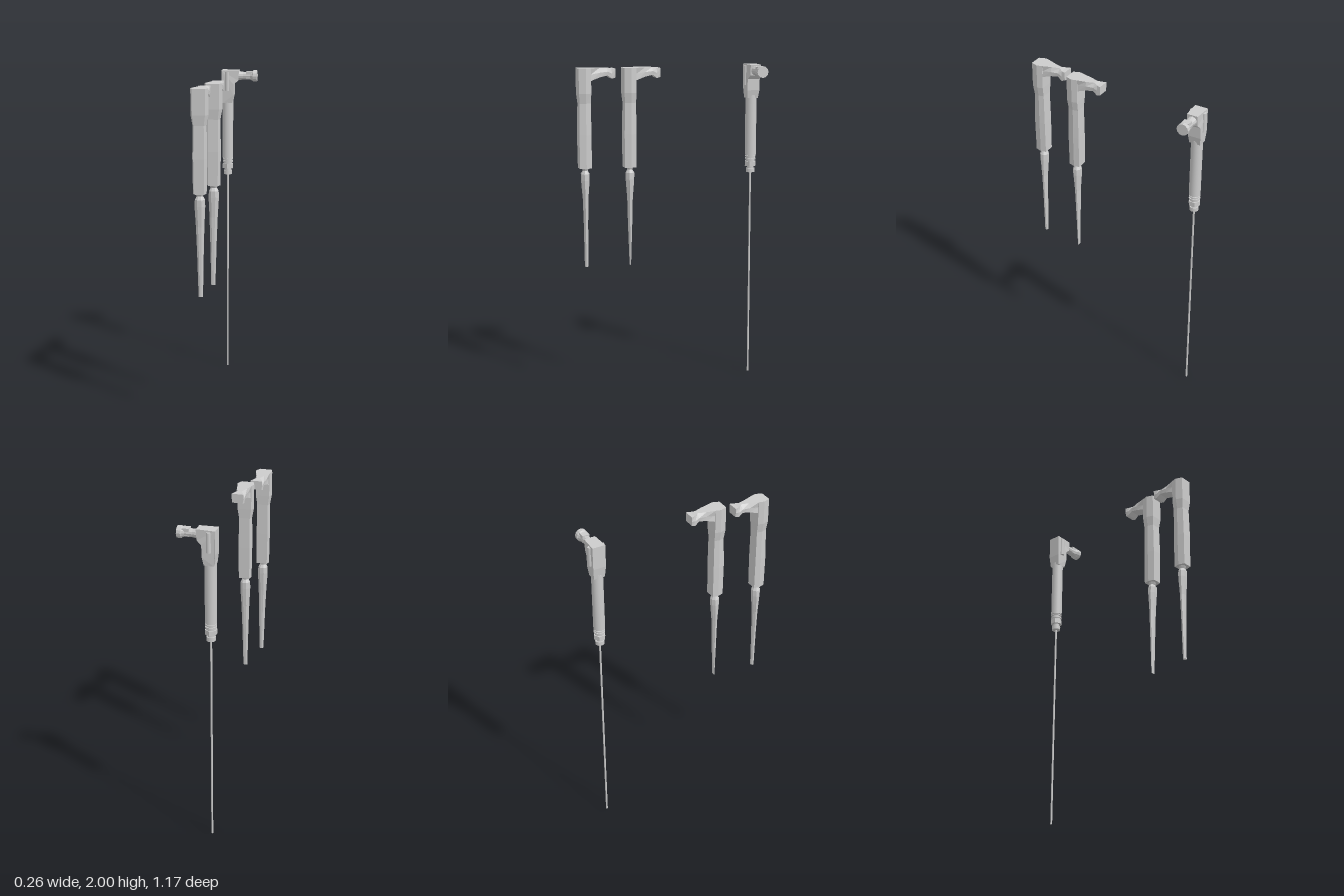
import * as THREE from 'three';

const flat = new THREE.MeshStandardMaterial({ color: 0xcccccc, flatShading: true });
const smooth = new THREE.MeshStandardMaterial({ color: 0xcccccc });

function add(parent, name, geometry, material, x = 0, y = 0, z = 0) {
  const mesh = new THREE.Mesh(geometry, material);
  mesh.name = name;
  mesh.position.set(x, y, z);
  parent.add(mesh);
  return mesh;
}

// Skin a list of equal-length rings of [x, y, z] points and cap both ends
function loft(rings) {
  const n = rings[0].length;
  const tris = [];
  for (let i = 0; i + 1 < rings.length; i++) {
    for (let j = 0; j < n; j++) {
      const k = (j + 1) % n;
      const a = rings[i][j], b = rings[i][k], c = rings[i + 1][k], d = rings[i + 1][j];
      tris.push([a, b, c], [a, c, d]);
    }
  }
  const last = rings[rings.length - 1];
  for (let j = 1; j + 1 < n; j++) {
    tris.push([rings[0][0], rings[0][j + 1], rings[0][j]], [last[0], last[j], last[j + 1]]);
  }
  // Turn the faces outward when the enclosed volume comes out negative
  let volume = 0;
  const [a0, b0, c0] = [0, 1, 2].map(() => new THREE.Vector3());
  for (const [a, b, c] of tris) {
    volume += a0.fromArray(a).dot(b0.fromArray(b).cross(c0.fromArray(c)));
  }
  if (volume < 0) tris.forEach((t) => t.reverse());
  const g = new THREE.BufferGeometry();
  g.setAttribute('position', new THREE.Float32BufferAttribute(tris.flat(2), 3));
  g.computeVertexNormals();
  return g;
}

// Six-sided plan of the grip: flat back, widest at the middle, narrower front
const hexRing = (y, w, back, front) => [
  [-0.72 * w, y, back], [0.72 * w, y, back], [w, y, 0],
  [0.83 * w, y, front], [-0.83 * w, y, front], [-w, y, 0],
];

// Eight-sided ellipse
const ovalRing = (y, rx, rz, cx = 0) => Array.from({ length: 8 }, (_, i) => {
  const a = (i + 0.5) * Math.PI / 4, s = 1 / Math.cos(Math.PI / 8);
  return [cx + rx * s * Math.cos(a), y, rz * s * Math.sin(a)];
});

// Angled hand tool with a hooked head and a long tapering blade
function handTool(name, x, z, bladeX, tipZ, noseScale) {
  const tool = new THREE.Group();
  tool.name = name;
  tool.position.set(x, 0, z);
  add(tool, 'grip', loft([
    hexRing(1.395, 0.04, 0.038, -0.034),
    hexRing(1.6, 0.043, 0.04, -0.034),
    hexRing(1.79, 0.041, 0.035, -0.032),
    hexRing(1.85, 0.052, 0.041, -0.034),
    hexRing(2.0, 0.052, 0.041, -0.034),
  ]), flat);

  // Hooked nose: [z, top half width, bottom half width, bottom y, top y]
  const nose = [
    [0, 0.052, 0.045, 1.91, 2.0],
    [-0.034, 0.043, 0.04, 1.925, 2.0],
    [-0.09, 0.026 * noseScale, 0.036, 1.945, 2.0],
    [-0.14, 0.012 * noseScale, 0.034, 1.955, 2.0],
    [-0.165, 0.028, 0.036, 1.935, 1.995],
    [-0.188, 0.036, 0.032, 1.94, 1.995],
  ];
  add(tool, 'nose', loft(nose.map(([pz, t, b, y0, y1]) => [
    [-b, y0, pz], [b, y0, pz], [0.036, (y0 + y1) / 2, pz],
    [t, y1, pz], [-t, y1, pz], [-0.036, (y0 + y1) / 2, pz],
  ])), flat);

  add(tool, 'blade', loft([
    ovalRing(1.4, 0.026, 0.024),
    ovalRing(1.38, 0.018, 0.014),
    ovalRing(1.36, 0.028, 0.025),
    ovalRing(1.32, 0.03, 0.024),
    ovalRing(1.2, 0.024, 0.015, bladeX * 0.3),
    ovalRing(1.05, 0.019, 0.012, bladeX * 0.6),
    ovalRing(0.78, 0.0125, tipZ, bladeX),
  ]), flat);
  return tool;
}

// Long probe with a round handle, box head and side fitting
function probe(x, z) {
  const tool = new THREE.Group();
  tool.name = 'probe';
  tool.position.set(x, 0, z);
  add(tool, 'rod', new THREE.CylinderGeometry(0.006, 0.006, 1.33, 10), smooth, 0, 0.665);
  add(tool, 'handle', new THREE.CylinderGeometry(0.035, 0.035, 0.38, 20), smooth, 0, 1.62);

  // Stacked collars between handle and rod: [radius, bottom, top, sides]
  const collars = [
    [0.027, 1.32, 1.345, 16], [0.02, 1.345, 1.36, 16], [0.037, 1.36, 1.39, 6],
    [0.028, 1.39, 1.4, 16], [0.034, 1.4, 1.41, 16], [0.028, 1.41, 1.418, 16],
    [0.034, 1.418, 1.425, 16], [0.028, 1.425, 1.432, 16],
  ];
  collars.forEach(([r, y0, y1, n], i) => add(tool, `collar${i + 1}`,
    new THREE.CylinderGeometry(r, r, y1 - y0, n), n === 6 ? flat : smooth, 0, (y0 + y1) / 2));

  // Head profile, seen from the side, extruded across its width
  const profile = new THREE.Shape([
    [-0.038, 2.0], [-0.038, 1.86], [-0.03, 1.79], [0.03, 1.79], [0.04, 1.84],
    [0.042, 1.91], [0.07, 1.935], [0.075, 2.0],
  ].map(([px, py]) => new THREE.Vector2(px, py)));
  const headGeo = new THREE.ExtrudeGeometry(profile, { depth: 0.08, bevelEnabled: false });
  headGeo.translate(0, 0, -0.04);
  const p = headGeo.attributes.position;
  for (let i = 0; i < p.count; i++) {
    // Narrow the head towards its foot and towards the fitting
    if (p.getY(i) < 1.8 || p.getX(i) > 0.06) p.setZ(i, p.getZ(i) * 0.86);
  }
  headGeo.computeVertexNormals();
  add(tool, 'head', headGeo, flat);
  for (const s of [-1, 1]) {
    add(tool, s < 0 ? 'backLug' : 'frontLug',
      new THREE.CylinderGeometry(0.014, 0.014, 0.12, 10), smooth, 0, 1.93, s * 0.038);
  }

  // Side fitting turned about x: [radius, distance from the handle axis]
  const points = [[0, 0.06], [0.031, 0.06], [0.025, 0.1], [0.025, 0.145],
    [0.031, 0.16], [0.036, 0.165], [0.036, 0.19], [0, 0.19]];
  const fitting = new THREE.LatheGeometry(points.map(([r, d]) => new THREE.Vector2(r, d)), 12);
  fitting.rotateZ(-Math.PI / 2);
  add(tool, 'fitting', fitting, flat, 0, 1.964);
  add(tool, 'fittingBlock', new THREE.BoxGeometry(0.04, 0.045, 0.045), flat, 0.14, 1.97);
  return tool;
}

export function createModel() {
  const model = new THREE.Group();
  model.name = 'toolSet';
  model.add(handTool('middleTool', -0.039, 0.271, -0.004, 0.003, 1.2));
  model.add(handTool('frontTool', -0.081, 0.542, 0.003, 0.01, 0.9));
  model.add(probe(-0.06, -0.531));
  return model;
}
